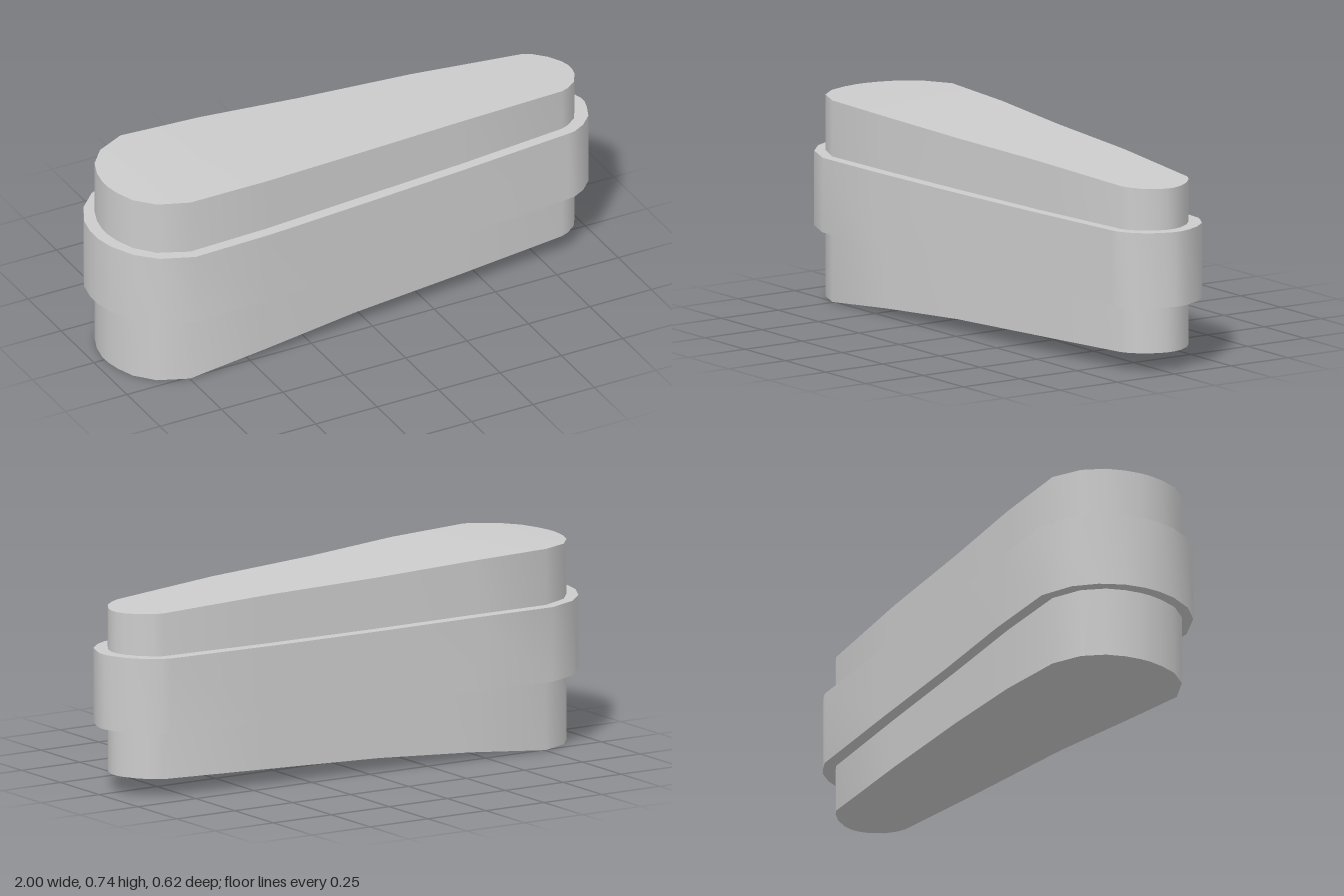
import * as THREE from 'three';
import { toCreasedNormals } from 'three/addons/utils/BufferGeometryUtils.js';

// Linear interpolation along a list of [x, y] points
function along(points, x) {
  for (let i = 1; i < points.length; i++) {
    const [x0, y0] = points[i - 1], [x1, y1] = points[i];
    if (x <= x1) return y0 + (y1 - y0) * Math.max(0, (x - x0) / (x1 - x0));
  }
  return points[points.length - 1][1];
}

// Solid lofted through upright rectangular sections [x, zBack, zFront]
function loft(name, sections, bottom, top, material) {
  const pos = [], idx = [];
  for (const [x, zb, zf] of sections) {
    const lo = along(bottom, x), hi = along(top, x);
    pos.push(x, lo, zb, x, lo, zf, x, hi, zf, x, hi, zb);
  }
  const n = sections.length;
  for (let i = 0; i < n - 1; i++) {
    for (let k = 0; k < 4; k++) {
      const a = i * 4 + k, b = i * 4 + (k + 1) % 4;
      idx.push(a, a + 4, b, b, a + 4, b + 4);
    }
  }
  // End walls
  const e = (n - 1) * 4;
  idx.push(0, 1, 2, 0, 2, 3, e, e + 2, e + 1, e, e + 3, e + 2);
  const geo = new THREE.BufferGeometry();
  geo.setAttribute('position', new THREE.Float32BufferAttribute(pos, 3));
  geo.setIndex(idx);
  const mesh = new THREE.Mesh(toCreasedNormals(geo, 0.5), material);
  mesh.name = name;
  return mesh;
}

export function createModel() {
  const group = new THREE.Group();
  group.name = 'taperedBlock';
  const grey = new THREE.MeshStandardMaterial({ color: 0xcccccc });

  // Tall inner body with sloping top and underside
  const body = [
    [-0.955, -0.02, 0.02], [-0.945, -0.08, 0.075], [-0.92, -0.145, 0.145],
    [-0.86, -0.215, 0.215], [-0.75, -0.265, 0.263], [-0.43, -0.255, 0.25],
    [-0.05, -0.231, 0.21], [0.4, -0.205, 0.17], [0.84, -0.172, 0.122],
    [0.87, -0.155, 0.11], [0.91, -0.118, 0.08], [0.94, -0.07, 0.03], [0.95, -0.035, -0.005],
  ];
  group.add(loft('innerBody', body,
    [[-0.955, 0], [-0.75, 0.002], [-0.43, 0.03], [-0.05, 0.05], [0.4, 0.06], [0.95, 0.07]],
    [[-0.955, 0.735], [-0.75, 0.74], [-0.43, 0.731], [-0.05, 0.713], [0.4, 0.699], [0.95, 0.67]],
    grey));

  // Wider band around the middle
  const band = [
    [-1, -0.03, 0.03], [-0.985, -0.105, 0.1], [-0.94, -0.19, 0.19],
    [-0.87, -0.26, 0.257], [-0.75, -0.31, 0.305], [-0.43, -0.299, 0.293],
    [-0.05, -0.274, 0.254], [0.4, -0.25, 0.21], [0.84, -0.22, 0.164],
    [0.87, -0.207, 0.16], [0.92, -0.178, 0.133], [0.965, -0.125, 0.088],
    [0.99, -0.07, 0.03], [1, -0.035, -0.005],
  ];
  group.add(loft('middleBand', band,
    [[-1, 0.262], [-0.43, 0.26], [0.1, 0.25], [0.85, 0.245], [1, 0.245]],
    [[-1, 0.536], [-0.43, 0.533], [0.1, 0.523], [0.85, 0.519], [1, 0.519]],
    grey));

  return group;
}
